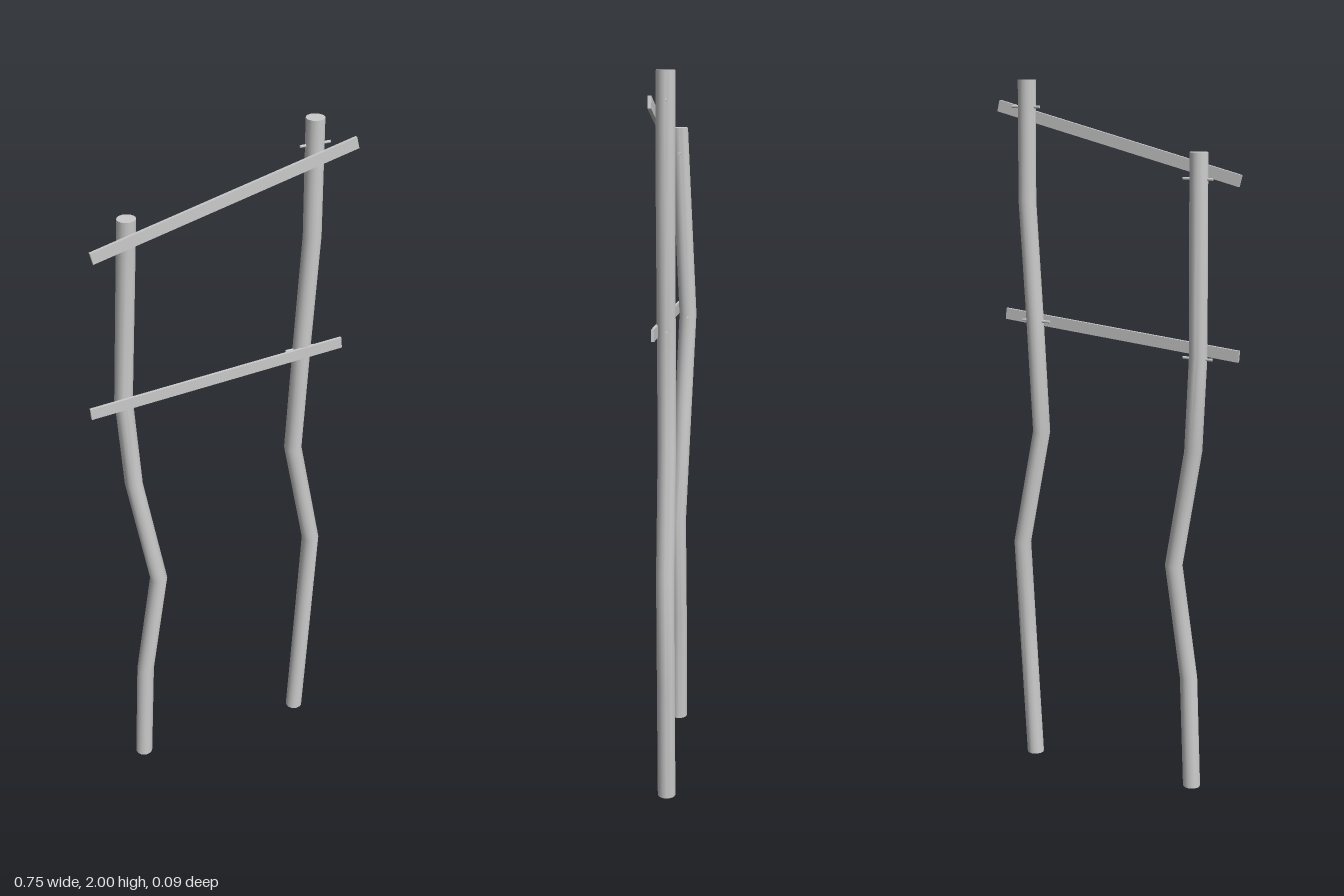
import * as THREE from 'three';
import { toCreasedNormals } from 'three/addons/utils/BufferGeometryUtils.js';

const material = new THREE.MeshStandardMaterial({ color: 0xcccccc });

function addMesh(parent, name, geometry) {
  const mesh = new THREE.Mesh(geometry, material);
  mesh.name = name;
  parent.add(mesh);
  return mesh;
}

// Crooked pole: a cylinder whose horizontal rings follow the given [x, y, z] points
function poleGeometry(points, radius = 0.025) {
  const rows = points.length - 1;
  const geometry = new THREE.CylinderGeometry(radius, radius, 1, 16, rows);
  const pos = geometry.attributes.position;
  for (let i = 0; i < pos.count; i++) {
    const [x, y, z] = points[Math.round((pos.getY(i) + 0.5) * rows)];
    pos.setXYZ(i, pos.getX(i) + x, y, pos.getZ(i) + z);
  }
  return toCreasedNormals(geometry, 0.6);
}

// Flat plank running from the middle of one end to the middle of the other
function addPlank(parent, name, from, to, height, depth) {
  const a = new THREE.Vector3(...from), b = new THREE.Vector3(...to);
  const d = b.clone().sub(a);
  const plank = addMesh(parent, name, new THREE.BoxGeometry(d.length(), height, depth));
  plank.position.copy(a).add(b).multiplyScalar(0.5);
  plank.rotation.set(0, -Math.atan2(d.z, d.x), Math.atan2(d.y, Math.hypot(d.x, d.z)), 'YZX');
}

export function createModel() {
  const group = new THREE.Group();

  // Poles
  addMesh(group, 'rightPole', poleGeometry([
    [-0.257, 0, 0.007], [-0.243, 0.335, 0.007], [-0.193, 0.667, 0.007],
    [-0.254, 1.01, -0.006], [-0.27, 1.28, -0.018], [-0.253, 1.82, 0.007],
  ]));
  addMesh(group, 'leftPole', poleGeometry([
    [0.262, 0, 0.007], [0.28, 0.335, 0.007], [0.297, 0.667, 0.007],
    [0.229, 1.01, 0.007], [0.247, 1.35, 0.007], [0.266, 1.67, 0.007], [0.263, 2, 0.007],
  ]));

  // Crossbars on the front of the poles
  addPlank(group, 'upperCrossbar', [-0.36, 1.746, 0.038], [0.37, 1.927, 0.038], 0.032, 0.009);
  addPlank(group, 'lowerCrossbar', [-0.375, 1.281, 0.015], [0.354, 1.341, 0.034], 0.032, 0.008);

  // Thin pegs driven sideways through the poles at each crossbar
  const pegs = [
    [-0.252, 1.75, 0.005], [0.266, 1.927, 0.005],
    [-0.268, 1.272, -0.018], [0.241, 1.332, 0.005],
  ];
  for (const [x, y, z] of pegs) {
    const peg = addMesh(group, 'peg', new THREE.CylinderGeometry(0.004, 0.004, 0.086, 8));
    peg.rotation.z = Math.PI / 2;
    peg.position.set(x, y, z);
  }
  return group;
}
